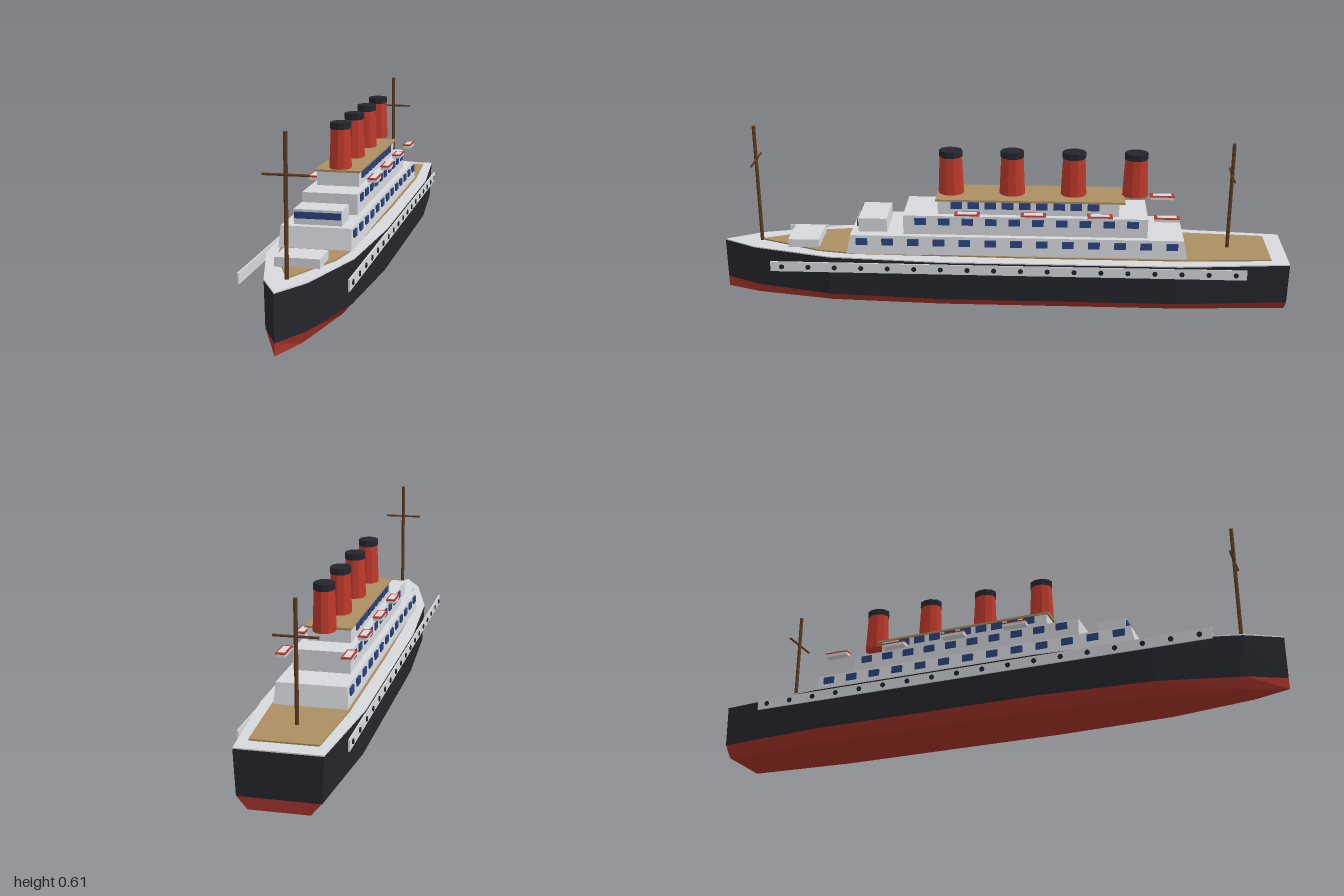
import * as THREE from 'three';

const mat = (name, color, flat = true) => {
  const m = new THREE.MeshStandardMaterial({ color });
  m.name = name;
  m.flatShading = flat;
  return m;
};

// Half outlines [half width, z], stern to bow
const HULL = [[0.133, -1], [0.167, -0.62], [0.167, 0.2], [0.14, 0.6], [0.065, 0.88], [0, 1]];
const DECK = [[0.105, -0.94], [0.124, -0.65], [0.124, -0.1], [0.113, 0.53], [0.093, 0.645], [0, 0.865]];

// Mirrors a half outline and lofts it through levels of [y, width scale], closed at both ends
function loft(half, levels) {
  const ring = [...half, ...half.filter(p => p[0] > 0).reverse().map(([x, z]) => [-x, z])];
  const pos = [];
  const at = (i, [y, s]) => [ring[i % ring.length][0] * s, y, ring[i % ring.length][1]];
  const first = levels[0], last = levels[levels.length - 1];
  for (let i = 0; i < ring.length; i++) {
    for (let k = 0; k + 1 < levels.length; k++) {
      const a = at(i, levels[k]), b = at(i + 1, levels[k]);
      const c = at(i + 1, levels[k + 1]), d = at(i, levels[k + 1]);
      pos.push(...a, ...d, ...c, ...a, ...c, ...b);
    }
    pos.push(0, last[0], 0, ...at(i + 1, last), ...at(i, last));
    pos.push(0, first[0], 0, ...at(i, first), ...at(i + 1, first));
  }
  const g = new THREE.BufferGeometry();
  g.setAttribute('position', new THREE.Float32BufferAttribute(pos, 3));
  g.computeVertexNormals();
  return g;
}

export function createModel() {
  const ship = new THREE.Group();
  ship.name = 'oceanLiner';

  const white = mat('paintedGrey', 0xd6d8dc);
  const black = mat('hullBlack', 0x25262d);
  const keelRed = mat('keelRed', 0xa8342a);
  const red = mat('funnelRed', 0xc0392b);
  const tan = mat('deckWood', 0xab8f60);
  const brown = mat('mastBrown', 0x5e3c22);
  const blue = mat('windowBlue', 0x2b4580);
  const dark = mat('portholeDark', 0x1d222e);

  const add = (name, geo, material, x = 0, y = 0, z = 0, parent = ship) => {
    const m = new THREE.Mesh(geo, material);
    m.name = name;
    m.position.set(x, y, z);
    parent.add(m);
    return m;
  };
  // Box from half width, y range and z range
  const block = (name, material, hw, y0, y1, z0, z1) =>
    add(name, new THREE.BoxGeometry(2 * hw, y1 - y0, z1 - z0), material, 0, (y0 + y1) / 2, (z0 + z1) / 2);

  // Hull
  add('lowerHull', loft(HULL, [[0, 0.7], [0.038, 0.945]]), keelRed);
  add('upperHull', loft(HULL, [[0.038, 0.95], [0.181, 1]]), black);
  add('hullDeck', loft(HULL, [[0.181, 1], [0.185, 1]]), white);
  add('woodDeck', loft(DECK, [[0.185, 1], [0.19, 1]]), tan);

  // Side strakes with portholes
  const portGeo = new THREE.CylinderGeometry(0.009, 0.009, 0.008, 8).rotateZ(Math.PI / 2);
  for (const s of [1, -1]) {
    add('sideStrake', new THREE.BoxGeometry(0.005, 0.036, 1.65), white, s * 0.168, 0.157, -0.025);
    for (let i = 0; i < 18; i++) add('porthole', portGeo, dark, s * 0.17, 0.157, 0.76 - i * 0.0925);
  }

  // Lowest tier, leaning in towards its top
  const tier = block('lowerTier', white, 0.118, 0.188, 0.257, -0.65, 0.54);
  const p = tier.geometry.attributes.position;
  for (let i = 0; i < p.count; i++) {
    if (p.getY(i) > 0) p.setXYZ(i, p.getX(i) * 0.965, p.getY(i), p.getZ(i) * 0.975);
  }
  tier.geometry.computeVertexNormals();

  // Upper tiers, bridge and cargo hatch
  block('middleTier', white, 0.093, 0.257, 0.326, -0.51, 0.34);
  block('upperTier', white, 0.072, 0.326, 0.374, -0.41, 0.22);
  block('upperRoof', tan, 0.077, 0.374, 0.381, -0.43, 0.228);
  block('bridge', white, 0.078, 0.257, 0.306, 0.4, 0.5);
  block('bridgeWindow', blue, 0.076, 0.277, 0.298, 0.498, 0.505);
  block('cargoHatch', white, 0.07, 0.188, 0.218, 0.645, 0.755);

  // Cabin windows: count, x, y, first z, spacing
  const rows = [[13, 0.117, 0.235, 0.485, 0.09], [10, 0.094, 0.306, 0.28, 0.082], [9, 0.073, 0.36, 0.155, 0.0595]];
  const windowGeo = new THREE.BoxGeometry(0.008, 0.024, 0.04);
  for (const [n, x, y, z, step] of rows) {
    for (const s of [1, -1]) {
      for (let i = 0; i < n; i++) add('cabinWindow', windowGeo, blue, s * x, y, z - i * step);
    }
  }

  // Funnels, slightly narrower across the ship
  for (let i = 0; i < 4; i++) {
    const f = new THREE.Group();
    f.name = 'funnel';
    f.position.z = 0.178 - i * 0.215;
    f.scale.x = 0.84;
    add('funnelStack', new THREE.CylinderGeometry(0.039, 0.045, 0.135, 10), red, 0, 0.449, 0, f);
    add('funnelCap', new THREE.CylinderGeometry(0.041, 0.041, 0.022, 10), black, 0, 0.527, 0, f);
    ship.add(f);
  }

  // Masts with cross yards: z, top, yard height
  for (const [z, top, yard] of [[0.865, 0.614, 0.49], [-0.8, 0.575, 0.46]]) {
    const h = top - 0.185;
    add('mast', new THREE.CylinderGeometry(0.0065, 0.0065, h, 8), brown, 0, 0.185 + h / 2, z);
    add('yard', new THREE.CylinderGeometry(0.004, 0.004, 0.14, 6).rotateZ(Math.PI / 2), brown, 0, yard, z);
  }

  // Lifeboats with a red rim and pale cover
  for (const s of [1, -1]) {
    for (let i = 0; i < 4; i++) {
      const b = new THREE.Group();
      b.name = 'lifeboat';
      b.position.set(s * 0.104, 0.33, 0.115 - i * 0.229);
      add('boatHull', new THREE.BoxGeometry(0.03, 0.011, 0.084), white, 0, 0.0045, 0, b);
      add('boatRim', new THREE.BoxGeometry(0.033, 0.004, 0.087), red, 0, 0.011, 0, b);
      add('boatCover', new THREE.BoxGeometry(0.022, 0.002, 0.066), white, 0, 0.013, 0, b);
      ship.add(b);
    }
  }
  return ship;
}
